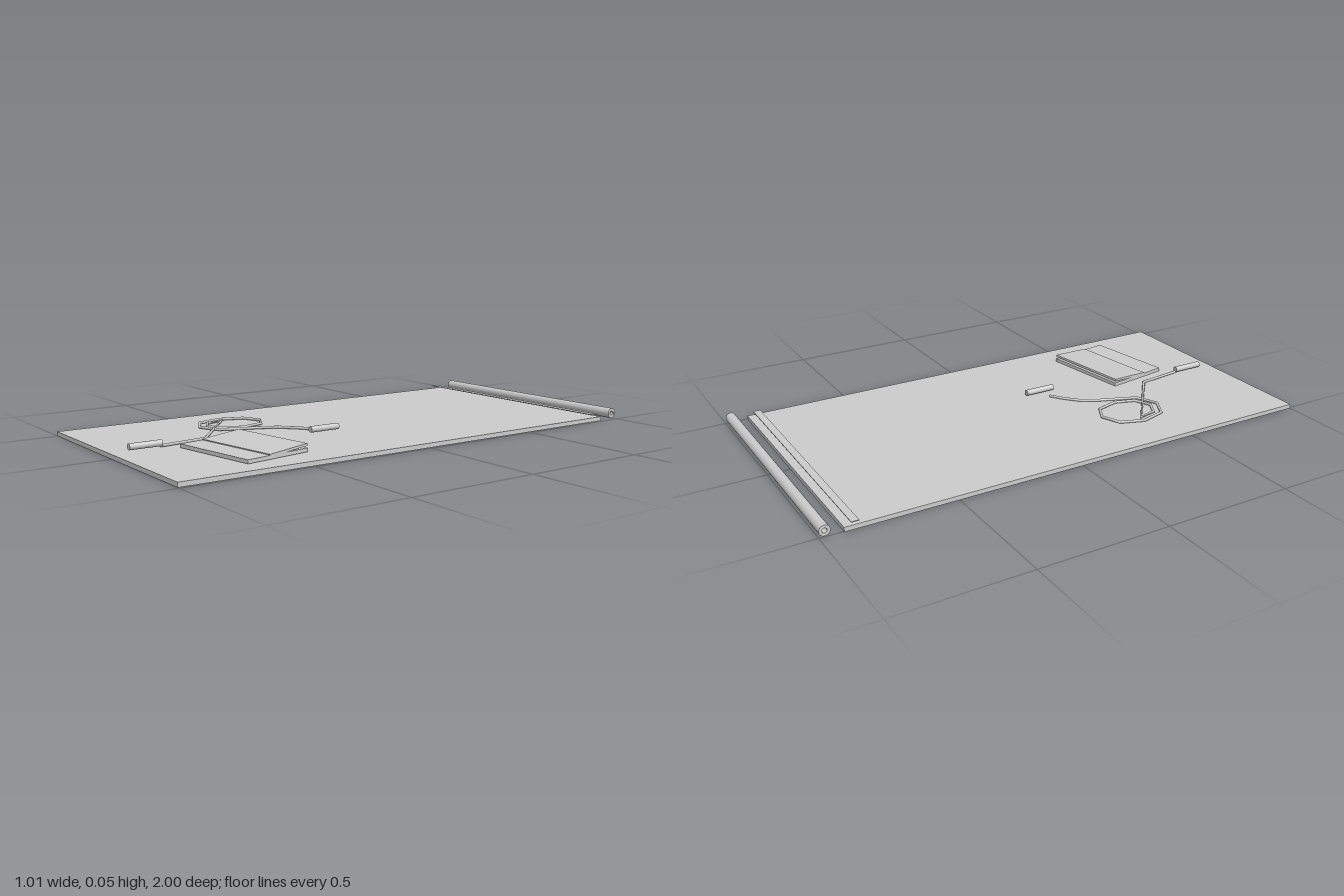
import * as THREE from 'three';

const grey = new THREE.MeshStandardMaterial({ color: 0xcccccc });
grey.name = 'light grey';

function add(parent, name, geometry, x = 0, y = 0, z = 0) {
  const mesh = new THREE.Mesh(geometry, grey);
  mesh.name = name;
  mesh.position.set(x, y, z);
  parent.add(mesh);
  return mesh;
}

// Rope made of straight runs with mitred corners, lying flat
function ropeGeometry(points, radius, sides, y) {
  const pos = [], index = [];
  const n = points.length;
  const P = points.map(([x, z]) => new THREE.Vector2(x, z));
  for (let i = 0; i < n; i++) {
    const a = P[Math.min(i + 1, n - 1)].clone().sub(P[Math.min(i, n - 2)]).normalize();
    const b = P[Math.max(i, 1)].clone().sub(P[Math.max(i - 1, 0)]).normalize();
    const t = a.clone().add(b).normalize();
    const mitre = Math.min(1 / Math.max(t.dot(b), 0.3), 1.8);
    for (let j = 0; j < sides; j++) {
      const q = (j / sides) * Math.PI * 2;
      const s = Math.cos(q) * radius * mitre;
      pos.push(P[i].x - t.y * s, y + Math.sin(q) * radius, P[i].y + t.x * s);
      if (i < n - 1) {
        const k = i * sides + j, m = i * sides + (j + 1) % sides;
        index.push(k, k + sides, m, m, k + sides, m + sides);
      }
    }
  }
  for (let j = 1; j < sides - 1; j++) {
    const e = (n - 1) * sides;
    index.push(0, j, j + 1, e, e + j + 1, e + j);
  }
  const g = new THREE.BufferGeometry();
  g.setAttribute('position', new THREE.Float32BufferAttribute(pos, 3));
  g.setIndex(index);
  g.computeVertexNormals();
  return g;
}

export function createModel() {
  const model = new THREE.Group();
  model.name = 'exerciseMatSet';

  // Mat and the thin strip over its back end
  add(model, 'mat', new THREE.BoxGeometry(0.995, 0.017, 1.915), -0.007, 0.0085, 0.0425);
  add(model, 'backStrip', new THREE.BoxGeometry(0.995, 0.003, 0.028), -0.007, 0.0285, -0.876);

  // Hollow roll behind the mat, with a small pin at its end
  const ring = new THREE.Shape().absarc(0, 0, 0.02, 0, Math.PI * 2);
  ring.holes.push(new THREE.Path().absarc(0, 0, 0.009, 0, Math.PI * 2, true));
  const roll = new THREE.ExtrudeGeometry(ring, { depth: 0.995, bevelEnabled: false, curveSegments: 20 });
  roll.rotateY(Math.PI / 2);
  add(model, 'roll', roll, -0.5045, 0.025, -0.98);
  const pin = new THREE.CylinderGeometry(0.004, 0.004, 0.004, 8).rotateZ(Math.PI / 2);
  add(model, 'rollPin', pin, 0.5025, 0.025, -0.98);

  // Skipping rope with two handles
  const rope = new THREE.Group();
  rope.name = 'skippingRope';
  const path = [
    [0.045, 0.205], [-0.005, 0.24], [-0.06, 0.29], [-0.09, 0.345], [-0.12, 0.425],
    [-0.15, 0.5], [-0.235, 0.537], [-0.315, 0.495], [-0.343, 0.395], [-0.31, 0.302],
    [-0.235, 0.27], [-0.167, 0.305], [-0.142, 0.395], [-0.167, 0.475], [-0.235, 0.505],
    [-0.293, 0.473], [-0.312, 0.4], [-0.03, 0.625], [-0.005, 0.815],
  ];
  add(rope, 'cord', ropeGeometry(path, 0.0055, 8, 0.0235));
  for (const [name, x, z] of [['frontHandle', -0.006, 0.872], ['backHandle', 0.098, 0.188]]) {
    const handle = new THREE.CylinderGeometry(0.012, 0.012, 0.125, 20).rotateX(Math.PI / 2);
    add(rope, name, handle, x, 0.034, z);
  }
  model.add(rope);

  // Folded towel: a lower layer and a tilted flap that sinks into it midway
  const towel = new THREE.Group();
  towel.name = 'foldedTowel';
  towel.position.set(0.205, 0, 0.602);
  towel.rotation.y = 0.163;
  add(towel, 'lowerLayer', new THREE.BoxGeometry(0.368, 0.014, 0.267), 0, 0.026, 0);
  const flap = add(towel, 'upperFlap', new THREE.BoxGeometry(0.368, 0.009, 0.17), 0, 0.0385, -0.047);
  flap.rotation.x = 0.075;
  model.add(towel);

  return model;
}
